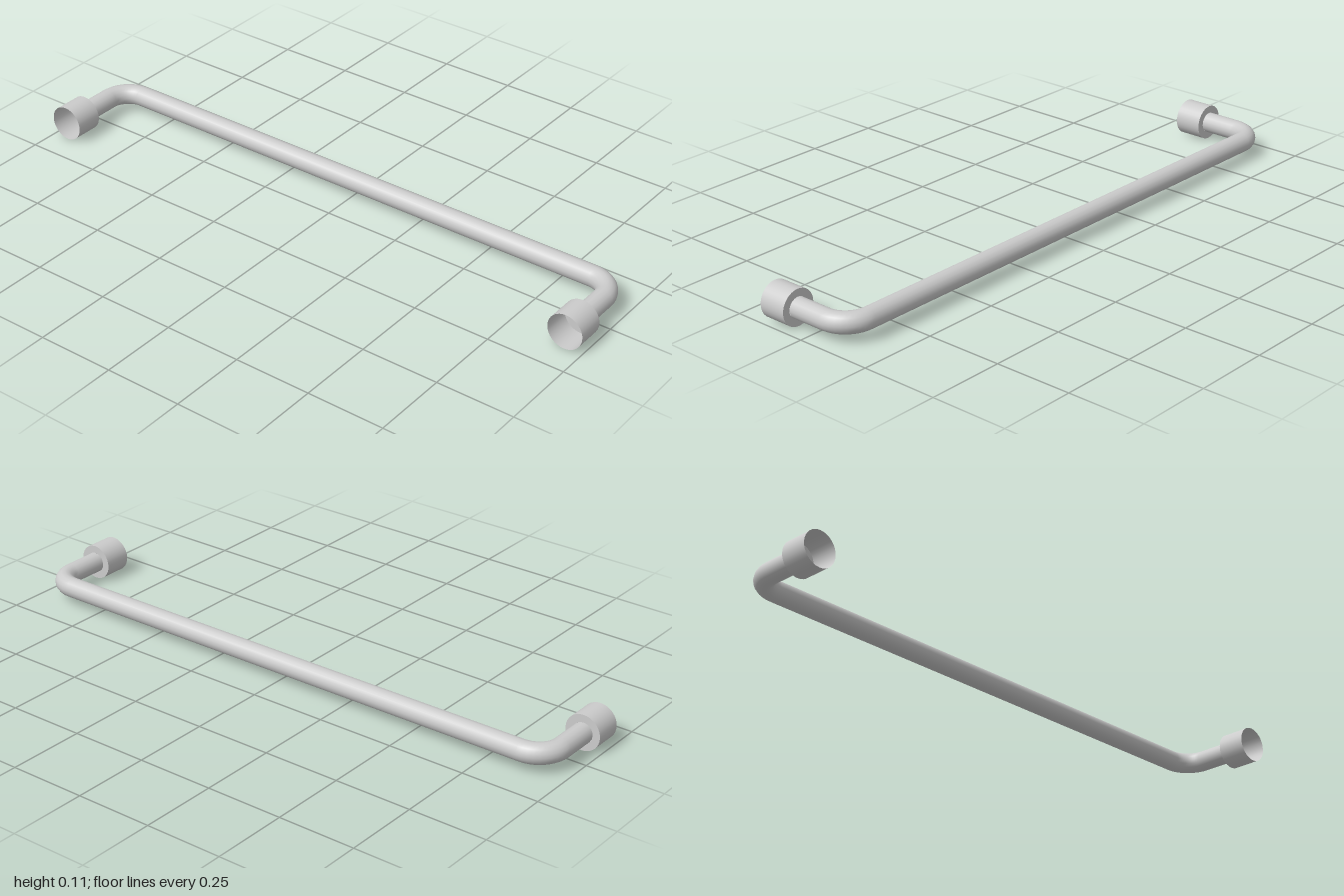
import * as THREE from 'three';

export function createModel() {
  const model = new THREE.Group();
  model.name = 'pullHandle';
  const material = new THREE.MeshStandardMaterial({ color: 0xcccccc, side: THREE.DoubleSide });

  const Y = 0.057;        // axis height
  const LEG_X = 0.943;    // leg axis
  const BAR_Z = -0.125;   // grip axis
  const R = 0.033;        // rod radius
  const BEND = 0.08;      // bend centre-line radius
  const COLLAR_R = 0.057;
  const COLLAR_BACK = 0.067, COLLAR_FRONT = 0.158;
  const SIDES = 16;

  const add = (name, geometry, x, z) => {
    const mesh = new THREE.Mesh(geometry, material);
    mesh.name = name;
    mesh.position.set(x, Y, z);
    model.add(mesh);
    return mesh;
  };
  const tube = (radius, length, sides) =>
    new THREE.CylinderGeometry(radius, radius, length, sides, 1, true);

  // Long straight grip
  add('gripBar', tube(R, 2 * (LEG_X - BEND), SIDES).rotateZ(Math.PI / 2), 0, BAR_Z);

  const bendEnd = BAR_Z + BEND;
  for (const [side, s] of [['left', 1], ['right', -1]]) {
    // Quarter bend from grip to leg
    const bend = new THREE.TorusGeometry(BEND, R, SIDES, 10, Math.PI / 2).rotateX(-Math.PI / 2);
    if (s < 0) bend.rotateY(Math.PI / 2);
    add(side + 'Bend', bend, s * (LEG_X - BEND), bendEnd);

    // Hollow leg, open where it meets the collar
    add(side + 'Leg', tube(R, COLLAR_BACK - bendEnd, SIDES).rotateX(Math.PI / 2),
      s * LEG_X, (bendEnd + COLLAR_BACK) / 2);

    // Thin collar, open at the front, with a ring-shaped back wall
    add(side + 'Collar', tube(COLLAR_R, COLLAR_FRONT - COLLAR_BACK, 32).rotateX(Math.PI / 2),
      s * LEG_X, (COLLAR_BACK + COLLAR_FRONT) / 2);
    add(side + 'CollarBack', new THREE.RingGeometry(R, COLLAR_R, 32), s * LEG_X, COLLAR_BACK);
  }
  return model;
}
